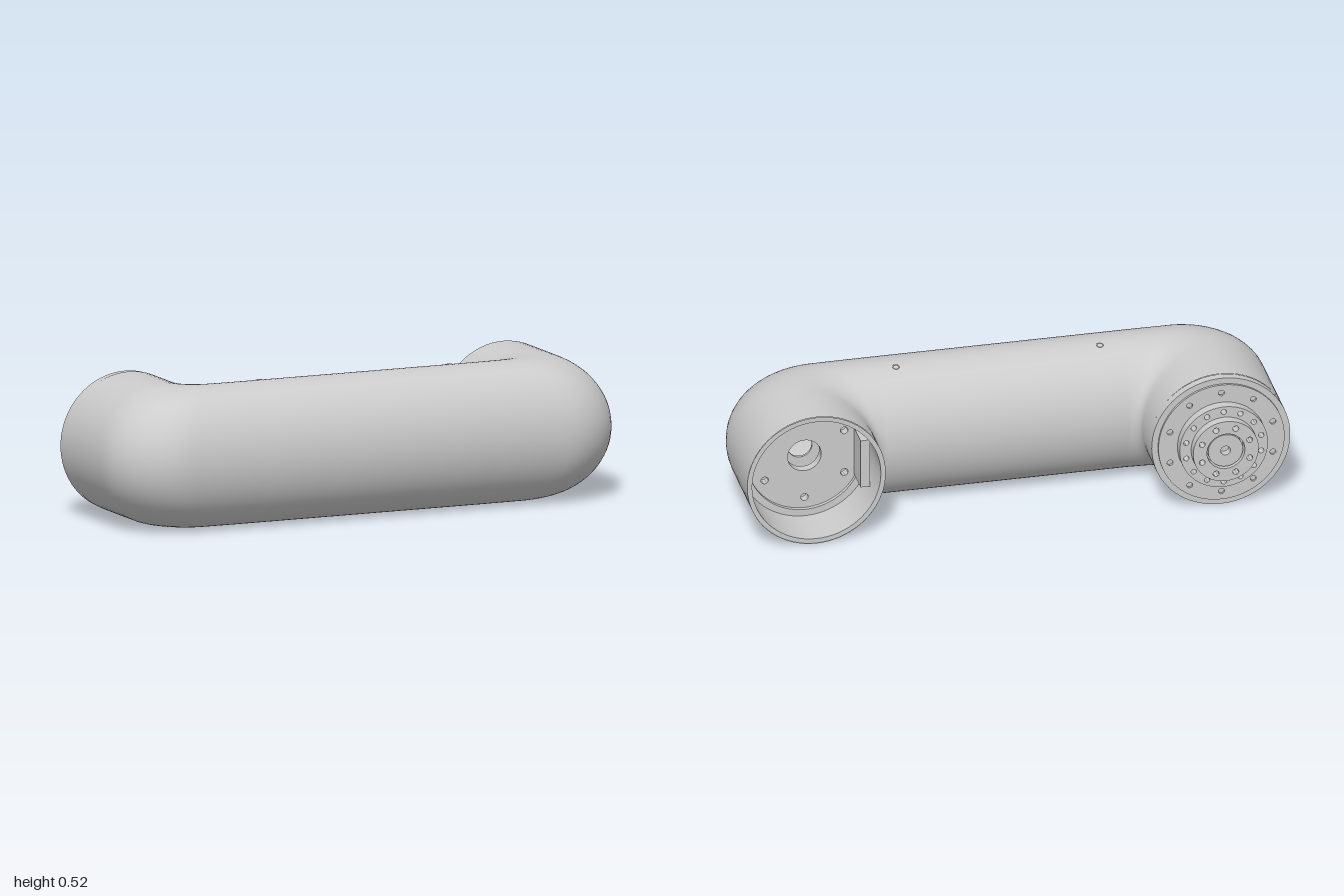
import * as THREE from 'three';
import { toCreasedNormals } from 'three/addons/utils/BufferGeometryUtils.js';

const CY = 0.26, ARM_X = 0.744, ARM_R = 0.256;

export function createModel() {
  const group = new THREE.Group();
  const mat = new THREE.MeshStandardMaterial({ color: 0xcccccc });
  const matTwo = new THREE.MeshStandardMaterial({ color: 0xcccccc, side: THREE.DoubleSide });
  const add = (name, geo, x, y, z, m = mat, parent = group) => {
    const mesh = new THREE.Mesh(geo, m);
    mesh.name = name;
    mesh.position.set(x, y, z);
    parent.add(mesh);
    return mesh;
  };

  // U-shaped shell: elliptical sections spanning an inner and an outer outline
  const px = 0.448, pz = -0.11, fillet = 0.04;   // pivot of the inner elbow fillet
  const ox = 0.552, oz = 0.45, cr = 0.25;        // outer outline relative to the pivot
  function outerDistance(a) {
    const c = Math.cos(a), s = Math.sin(a);
    const t = Math.min(ox / Math.max(c, 1e-6), oz / Math.max(s, 1e-6));
    const cx = ox - cr, cz = oz - cr;
    if (t * c <= cx || t * s <= cz) return t;
    const b = c * cx + s * cz;
    return b + Math.sqrt(b * b - cx * cx - cz * cz + cr * cr);
  }
  const half = [];                               // each entry: inner x, z, outer x, z
  for (const z of [-0.23, -0.17]) half.push([px + fillet, z, px + ox, z]);
  const STEPS = 32;
  for (let i = 0; i <= STEPS; i++) {
    const a = (i / STEPS) * Math.PI / 2, c = Math.cos(a), s = Math.sin(a), d = outerDistance(a);
    half.push([px + fillet * c, pz + fillet * s, px + d * c, pz + d * s]);
  }
  for (const x of [0.3, 0.15]) half.push([x, pz + fillet, x, pz + oz]);
  const sections = [...half, ...half.map(([a, b, c, d]) => [-a, b, -c, d]).reverse()];
  const N = 72, pos = [], idx = [];
  sections.forEach(([ax, az, bx, bz], i) => {
    for (let j = 0; j < N; j++) {
      const p = (j / N) * Math.PI * 2, k = Math.cos(p) / 2;
      pos.push((ax + bx) / 2 + (bx - ax) * k, CY + 0.258 * Math.sin(p), (az + bz) / 2 + (bz - az) * k);
      if (i) {
        const q = (j + 1) % N, r0 = (i - 1) * N, r1 = i * N;
        idx.push(r0 + j, r0 + q, r1 + j, r0 + q, r1 + q, r1 + j);
      }
    }
  });
  const shell = new THREE.BufferGeometry();
  shell.setAttribute('position', new THREE.Float32BufferAttribute(pos, 3));
  shell.setIndex(idx);
  shell.computeVertexNormals();
  add('linkShell', shell, 0, 0, 0, matTwo);

  // Round plate with an optional centre bore and rings of bolt holes [count, ring radius, hole radius]
  function plate(name, x, r, zBack, zFront, bore, rings = []) {
    const shape = new THREE.Shape().absarc(0, 0, r, 0, Math.PI * 2);
    const hole = (hx, hy, hr) => shape.holes.push(new THREE.Path().absarc(hx, hy, hr, 0, Math.PI * 2, true));
    if (bore) hole(0, 0, bore);
    for (const [n, rr, hr] of rings) {
      for (let i = 0; i < n; i++) {
        const a = ((i + 0.5) / n) * Math.PI * 2;
        hole(Math.cos(a) * rr, Math.sin(a) * rr, hr);
      }
    }
    const geo = new THREE.ExtrudeGeometry(shape, { depth: zFront - zBack, bevelEnabled: false, curveSegments: 40 });
    add(name, toCreasedNormals(geo, 0.6), x, CY, zBack);
  }

  // Joint output flange: stepped stack of drilled plates
  plate('flangeBase', -ARM_X, ARM_R, -0.261, -0.229, 0);
  plate('flangeDisc', -ARM_X, 0.233, -0.27, -0.261, 0, [[10, 0.2, 0.011]]);
  plate('flangeStep', -ARM_X, 0.163, -0.307, -0.27, 0, [[14, 0.142, 0.01]]);
  plate('flangeRing', -ARM_X, 0.121, -0.342, -0.307, 0.07, [[8, 0.095, 0.011]]);
  plate('flangeHub', -ARM_X, 0.064, -0.336, -0.307, 0.018);

  // Open socket: thin rim, inner wall and floor ledge
  const wall = [[0.256, 0.23], [0.238, 0.23], [0.238, 0.05], [0.212, 0.05], [0.212, 0.0]]
    .map(([r, h]) => new THREE.Vector2(r, h));
  const socket = toCreasedNormals(new THREE.LatheGeometry(wall, 72).rotateX(-Math.PI / 2), 0.6);
  add('socketWall', socket, ARM_X, CY, 0, matTwo);
  plate('socketFloor', ARM_X, 0.212, -0.035, 0, 0.062, [[6, 0.17, 0.014]]);
  plate('socketBacking', ARM_X, 0.212, 0.04, 0.05, 0.045);

  // Block on the inner side of the socket wall
  add('socketBlock', new THREE.BoxGeometry(0.035, 0.19, 0.11), ARM_X - 0.2, CY, -0.09);

  // Small screw holes on the top and bottom of the tube
  for (const x of [-0.377, 0.377]) {
    for (const s of [-1, 1]) {
      const screw = new THREE.Group();
      screw.name = 'screwHole';
      screw.position.set(x, CY + s * 0.252, 0.092);
      screw.rotation.x = -s * 0.27;
      add('screwRim', new THREE.TorusGeometry(0.011, 0.002, 8, 20).rotateX(Math.PI / 2), 0, 0, 0, mat, screw);
      group.add(screw);
    }
  }
  return group;
}
